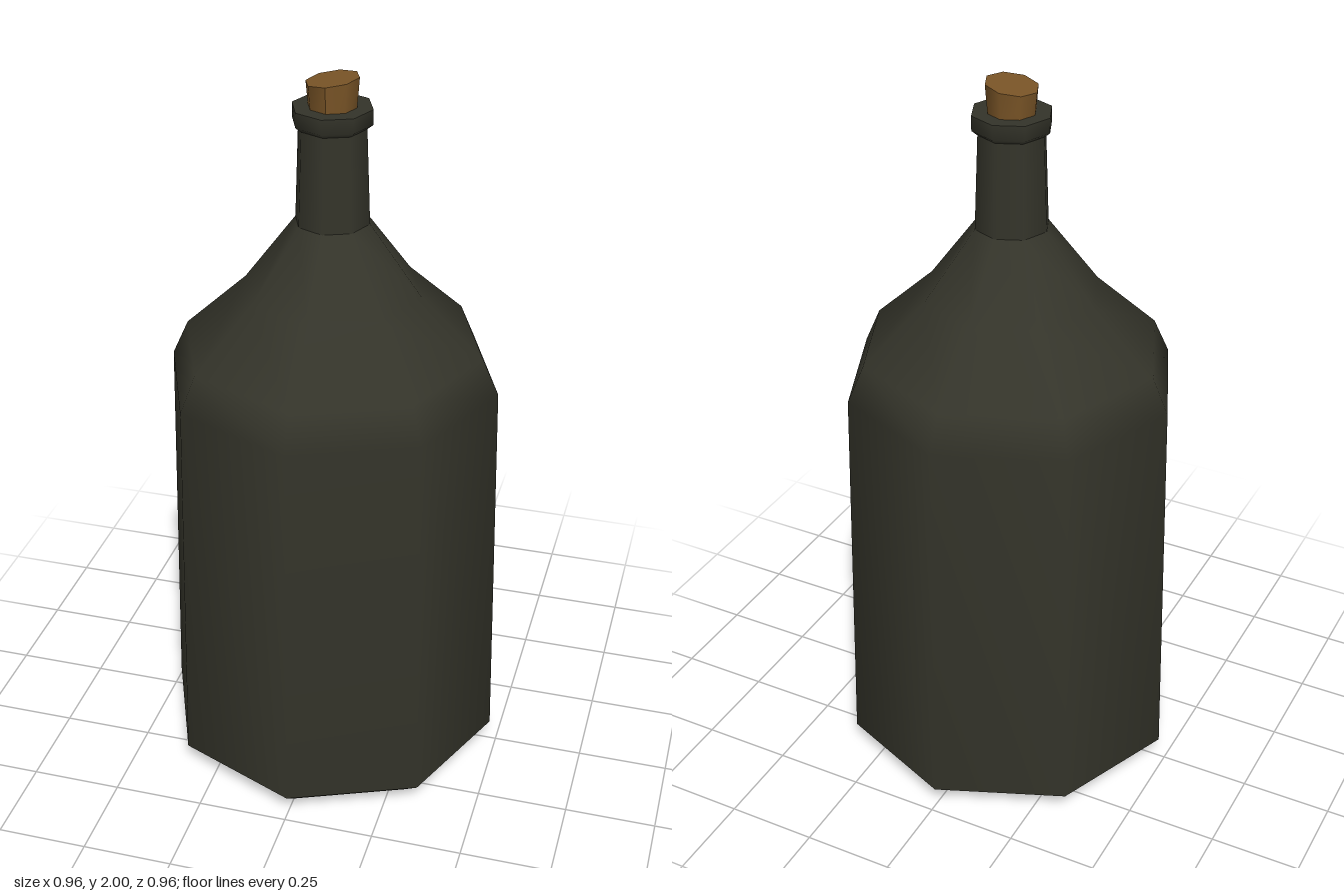
import * as THREE from 'three';

const SIDES = 8;

function lathe(name, profile, material) {
  const points = profile.map(([r, y]) => new THREE.Vector2(r, y));
  const mesh = new THREE.Mesh(new THREE.LatheGeometry(points, SIDES), material);
  mesh.name = name;
  return mesh;
}

export function createModel() {
  const glass = new THREE.MeshStandardMaterial({ color: 0x34342a });
  glass.name = 'dark glass';
  const corkBrown = new THREE.MeshStandardMaterial({ color: 0x7a5527 });
  corkBrown.name = 'cork brown';

  const bottle = new THREE.Group();
  bottle.name = 'bottle';

  // Body with bevelled foot and sloping shoulder
  bottle.add(lathe('body', [
    [0, 0], [0.41, 0], [0.48, 0.06], [0.455, 1.16],
    [0.41, 1.26], [0.24, 1.42], [0.1, 1.61],
  ], glass));

  // Neck, creased where it meets the shoulder
  bottle.add(lathe('neck', [[0.1, 1.61], [0.09, 1.88]], glass));

  // Lip: outer band, then a flat rim around the cork
  bottle.add(lathe('lipBand', [[0.088, 1.865], [0.106, 1.88], [0.106, 1.92]], glass));
  bottle.add(lathe('lipRim', [[0.106, 1.92], [0.05, 1.92]], glass));

  // Cork with a slanted top, higher on +x
  const corkGeometry = new THREE.CylinderGeometry(0.07, 0.058, 0.14, SIDES);
  corkGeometry.translate(0, 1.92, 0);
  const pos = corkGeometry.attributes.position;
  for (let i = 0; i < pos.count; i++) {
    if (pos.getY(i) > 1.92) pos.setY(i, 1.99 + pos.getX(i) * 0.143);
  }
  corkGeometry.computeVertexNormals();
  const cork = new THREE.Mesh(corkGeometry, corkBrown);
  cork.name = 'cork';
  bottle.add(cork);

  return bottle;
}
